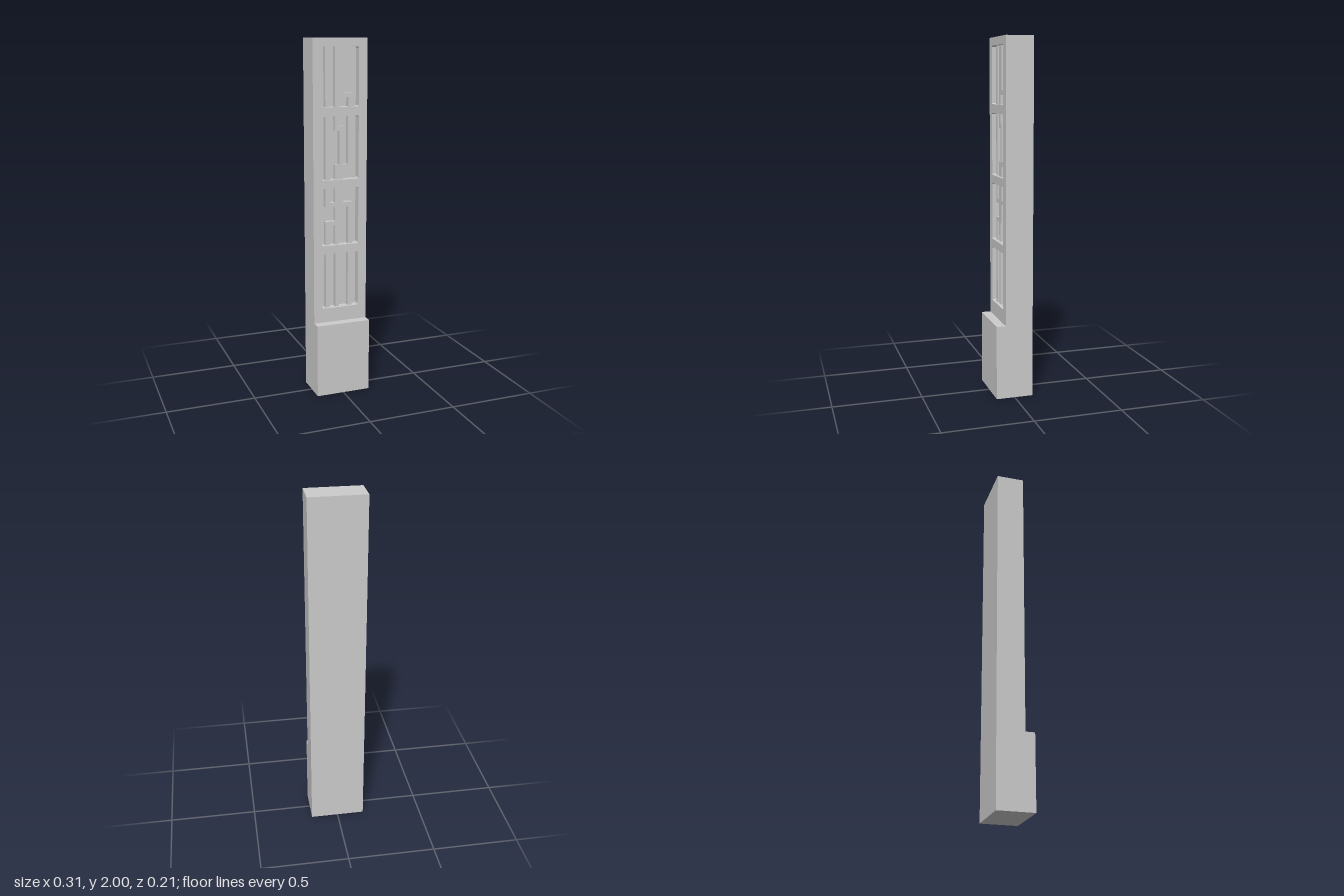
import * as THREE from 'three';

const HALF_W = 0.157, BACK = -0.105, FRONT = 0.052, BASE_FRONT = 0.105;
const BASE_TOP = 0.42, TOP = 2;
const FLOOR = FRONT - 0.046;   // bottom of the recessed panels
const RAISED = FRONT - 0.016;  // front of the lattice bars
const WIN = 0.108, CORNER = 0.006;

// x ranges of the four lattice bar columns
const COLS = [[-0.081, -0.056], [-0.024, 0], [0, 0.022], [0.052, 0.076]];

// each window: y range and bars as [first column, last column, y0, y1]
const WINDOWS = [
  { y0: 0.502, y1: 0.82, bars: [[0, 0, 0.502, 0.82], [1, 1, 0.502, 0.82], [3, 3, 0.502, 0.82]] },
  { y0: 0.867, y1: 1.19, bars: [
    [0, 0, 0.867, 1.001], [0, 1, 0.977, 1.001], [1, 1, 0.867, 1.19],
    [0, 1, 1.083, 1.107], [0, 0, 1.083, 1.19], [2, 2, 0.975, 1.19],
    [2, 3, 1.083, 1.107], [3, 3, 0.867, 1.107]] },
  { y0: 1.237, y1: 1.585, bars: [
    [0, 0, 1.237, 1.585], [1, 1, 1.505, 1.585], [1, 2, 1.505, 1.531],
    [2, 2, 1.237, 1.531], [1, 1, 1.237, 1.319],
    [2, 3, 1.293, 1.319], [3, 3, 1.293, 1.585]] },
  { y0: 1.635, y1: 1.955, bars: [
    [0, 0, 1.635, 1.955], [1, 1, 1.635, 1.955], [2, 2, 1.687, 1.955],
    [2, 3, 1.687, 1.711], [3, 3, 1.635, 1.711]] },
];

const material = new THREE.MeshStandardMaterial({ color: 0xcccccc, flatShading: true });

function box(name, x0, x1, y0, y1, z0, z1) {
  const mesh = new THREE.Mesh(new THREE.BoxGeometry(x1 - x0, y1 - y0, z1 - z0), material);
  mesh.position.set((x0 + x1) / 2, (y0 + y1) / 2, (z0 + z1) / 2);
  mesh.name = name;
  return mesh;
}

// window outline with small cut corners
function windowHole(y0, y1) {
  const c = CORNER, w = WIN;
  return new THREE.Path([
    [-w + c, y0], [-w, y0 + c], [-w, y1 - c], [-w + c, y1],
    [w - c, y1], [w, y1 - c], [w, y0 + c], [w - c, y0],
  ].map(([x, y]) => new THREE.Vector2(x, y)));
}

export function createModel() {
  const group = new THREE.Group();
  group.name = 'post';

  // solid back of the post and the thicker foot
  group.add(box('postBack', -HALF_W, HALF_W, BASE_TOP, TOP, BACK, FLOOR));
  group.add(box('base', -HALF_W, HALF_W, 0, BASE_TOP, BACK, BASE_FRONT));

  // front plate with the four openings
  const plate = new THREE.Shape([
    [-HALF_W, BASE_TOP], [HALF_W, BASE_TOP], [HALF_W, TOP], [-HALF_W, TOP],
  ].map(([x, y]) => new THREE.Vector2(x, y)));
  WINDOWS.forEach(({ y0, y1 }) => plate.holes.push(windowHole(y0, y1)));
  const frame = new THREE.Mesh(
    new THREE.ExtrudeGeometry(plate, { depth: FRONT - FLOOR, bevelEnabled: false }), material);
  frame.position.z = FLOOR;
  frame.name = 'frontFrame';
  group.add(frame);

  // lattice bars standing inside each opening
  WINDOWS.forEach(({ bars }, i) => {
    const lattice = new THREE.Group();
    lattice.name = `lattice${i + 1}`;
    for (const [a, b, y0, y1] of bars) {
      lattice.add(box('latticeBar', COLS[a][0], COLS[b][1], y0, y1, FLOOR, RAISED));
    }
    group.add(lattice);
  });
  return group;
}
